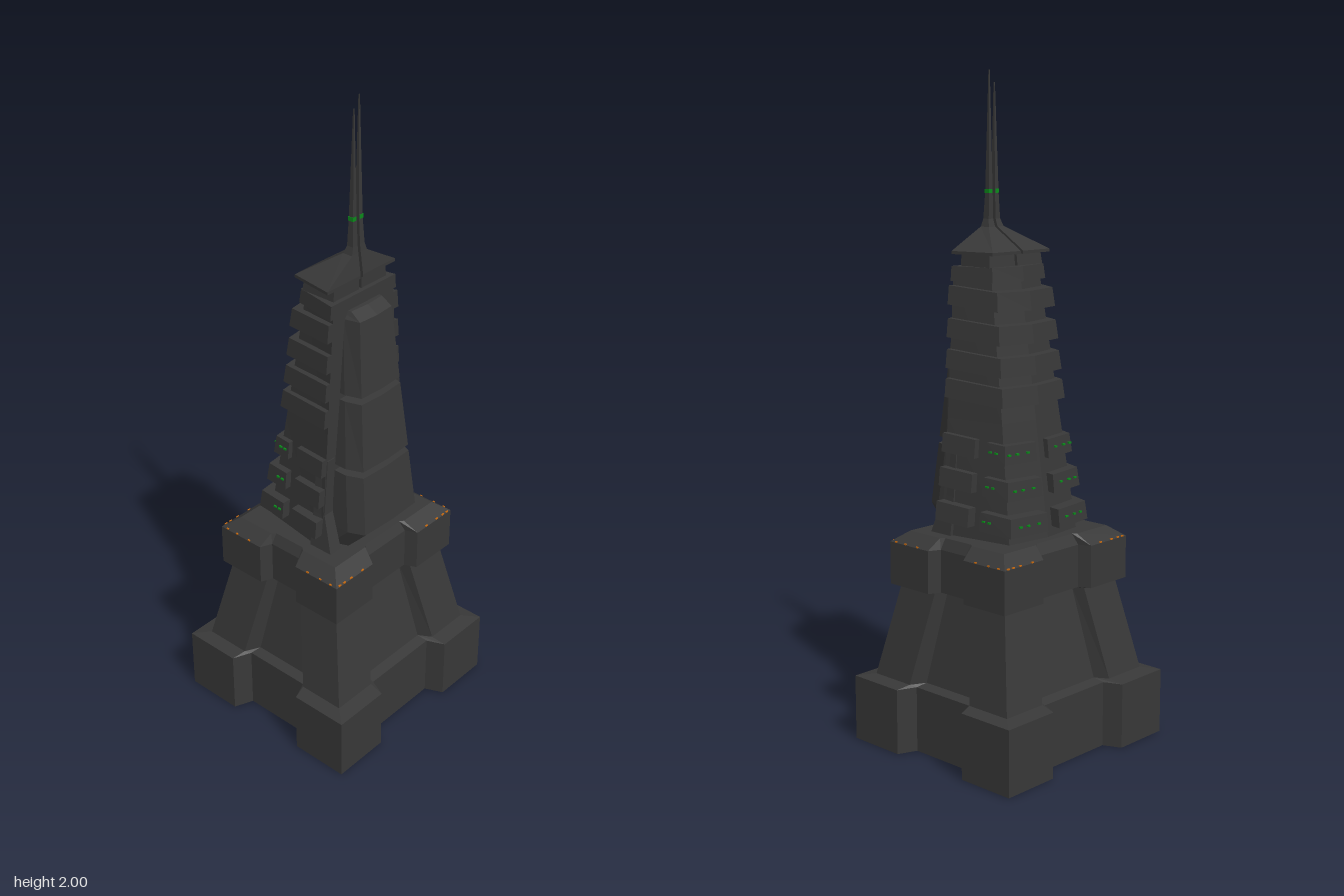
import * as THREE from 'three';

const mat = (name, color, side = THREE.FrontSide) => {
  const m = new THREE.MeshStandardMaterial({ color, side });
  m.name = name;
  return m;
};

export function createModel() {
  const tower = new THREE.Group();
  tower.name = 'tower';
  const stone = mat('dark stone', 0x383838, THREE.DoubleSide);
  const green = mat('green light', 0x0a8a1a);
  const orange = mat('orange light', 0xc86a10);

  // Flat-shaded loft through sections {y, p: [[x, z], ...]}; tilt lowers the back
  function loft(name, sections, { bottom = true, top = true, tilt = 0 } = {}) {
    const out = [];
    const first = sections[0].p.map(([x, z]) => new THREE.Vector2(x, z));
    const flip = THREE.ShapeUtils.area(first) < 0;
    const rings = sections.map(({ y, p }) => {
      const r = p.map(([x, z]) => [x, y + tilt * z, z]);
      return flip ? r.reverse() : r;
    });
    const n = rings[0].length;
    for (let k = 0; k + 1 < rings.length; k++) {
      const lo = rings[k], hi = rings[k + 1];
      for (let i = 0; i < n; i++) {
        const j = (i + 1) % n;
        out.push(...lo[i], ...hi[i], ...hi[j], ...lo[i], ...hi[j], ...lo[j]);
      }
    }
    const cap = (ring, up) => {
      const flat = ring.map(([x, , z]) => new THREE.Vector2(x, z));
      for (const [a, b, c] of THREE.ShapeUtils.triangulateShape(flat, [])) {
        const cross = (flat[b].x - flat[a].x) * (flat[c].y - flat[a].y)
          - (flat[b].y - flat[a].y) * (flat[c].x - flat[a].x);
        const order = (cross < 0) === up ? [a, b, c] : [a, c, b];
        order.forEach((i) => out.push(...ring[i]));
      }
    };
    if (bottom) cap(rings[0], false);
    if (top) cap(rings[rings.length - 1], true);
    const g = new THREE.BufferGeometry();
    g.setAttribute('position', new THREE.Float32BufferAttribute(out, 3));
    g.computeVertexNormals();
    const mesh = new THREE.Mesh(g, stone);
    mesh.name = name;
    tower.add(mesh);
  }

  const lamp = (name, material, x, y, z, w, h, d) => {
    const m = new THREE.Mesh(new THREE.BoxGeometry(w, h, d), material);
    m.position.set(x, y, z);
    m.name = name;
    tower.add(m);
  };

  // Plan with four corner blocks and a recess in each side
  function notched(X, Z, rx, rz, nx, nz, t) {
    const q = [[rx, nz - t], [X, nz], [X, Z], [nx, Z], [nx - t, rz]];
    const mir = (sx, sz, rev) => {
      const r = q.map(([x, z]) => [x * sx, z * sz]);
      return rev ? r.reverse() : r;
    };
    return [...mir(1, 1), ...mir(-1, 1, true), ...mir(-1, -1), ...mir(1, -1, true)];
  }

  // Hollow foot, sloping walls and collar
  const foot = notched(0.34, 0.32, 0.282, 0.265, 0.155, 0.135, 0.024);
  const wallLow = notched(0.297, 0.272, 0.25, 0.232, 0.15, 0.125, 0.024);
  const wallTop = notched(0.243, 0.213, 0.205, 0.178, 0.1, 0.07, 0.015);
  const collar = notched(0.267, 0.235, 0.23, 0.198, 0.105, 0.073, 0.016);
  const collarTop = notched(0.225, 0.192, 0.215, 0.183, 0.09, 0.065, 0.012);
  const open = { bottom: false, top: false };
  loft('foot', [{ y: 0, p: foot }, { y: 0.2, p: foot }, { y: 0.208, p: wallLow }], open);
  loft('slopingWalls', [{ y: 0.208, p: wallLow }, { y: 0.49, p: wallTop }], open);
  loft('collar', [{ y: 0.49, p: wallTop }, { y: 0.492, p: collar }, { y: 0.622, p: collar },
    { y: 0.655, p: collarTop }], { bottom: false });

  // Five-sided plan: flat front, angled sides and a shallow point at the back
  const plan = (w, back, front = 0.1) => [
    [w, front], [0.8 * w, back + 0.018], [0, back], [-0.8 * w, back + 0.018], [-w, front]];
  loft('shaft', [{ y: 0.65, p: plan(0.183, -0.158) }, { y: 1.0, p: plan(0.155, -0.108) },
    { y: 1.42, p: plan(0.128, -0.045) }]);

  // Upper tiers run all the way round
  for (const [y, w, b] of [[1.38, 0.153, -0.09], [1.285, 0.158, -0.1], [1.195, 0.163, -0.11],
    [1.11, 0.168, -0.12]]) {
    loft('upperTier', [{ y: y - 0.055, p: plan(w, b) }, { y, p: plan(w - 0.006, b + 0.007) }], { tilt: 0.08 });
  }
  loft('topBand', [{ y: 1.4, p: plan(0.14, -0.06) }, { y: 1.443, p: plan(0.136, -0.055) }]);

  // Lower tiers are broken by slots at the sides and the back
  for (const [y, w, b] of [[0.95, 0.182, -0.14], [0.85, 0.195, -0.162], [0.75, 0.21, -0.184]]) {
    for (const s of [1, -1]) {
      const side = (z, e) => w - e - (0.2 * w * (0.1 - z)) / (0.082 - b);
      const front = (e) => [[side(0.1, e), 0.1], [side(-0.015, e), -0.015], [0.08, -0.015], [0.08, 0.1]];
      const corner = (e) => [[side(-0.055, e), -0.055], [0.8 * w - e, b + 0.018 + e],
        [0.025, b + 0.003 + e], [0.025, -0.055]];
      for (const [name, f] of [['lowerTierSide', front], ['lowerTierCorner', corner]]) {
        const p = (e) => f(e).map(([x, z]) => [s * x, z]);
        loft(name, [{ y: y - 0.055, p: p(0) }, { y, p: p(0.006) }], { tilt: 0.08 });
      }
      // Small lamps along the tier edges
      for (const k of [0.06, 0.1, 0.13]) {
        lamp('tierLamp', green, s * k, y - 0.025 + 0.08 * b, b + 0.003 + 0.1 * k, 0.01, 0.005, 0.009);
      }
      for (const z of [-0.07, -0.09]) {
        lamp('tierLamp', green, s * side(z, 0.003), y - 0.025 + 0.08 * z, z, 0.009, 0.005, 0.01);
      }
    }
  }

  // Front bay in three blocks with open joints
  const bay = (a, b, f) => [[b, 0.09], [b, f - 0.05], [a, f], [0, f + 0.005], [-a, f], [-b, f - 0.05], [-b, 0.09]];
  loft('lowerBay', [{ y: 0.655, p: bay(0.117, 0.139, 0.15) }, { y: 0.72, p: bay(0.115, 0.137, 0.213) },
    { y: 0.905, p: bay(0.102, 0.123, 0.193) }]);
  loft('middleBay', [{ y: 0.925, p: bay(0.101, 0.121, 0.191) }, { y: 1.135, p: bay(0.085, 0.101, 0.169) }]);
  loft('upperBay', [{ y: 1.155, p: bay(0.084, 0.1, 0.167) }, { y: 1.383, p: bay(0.068, 0.081, 0.145) },
    { y: 1.405, p: bay(0.065, 0.076, 0.11) }]);

  for (const s of [1, -1]) {
    const m = (x0, x1, z0, z1) => [[s * x0, z0], [s * x1, z0], [s * x1, z1], [s * x0, z1]];
    // Buttress beside the bay
    loft('buttress', [{ y: 0.65, p: m(0.142, 0.188, 0.06, 0.142) }, { y: 0.77, p: m(0.136, 0.172, 0.06, 0.104) },
      { y: 0.95, p: m(0.126, 0.156, 0.06, 0.103) }]);
    // Split neck, roof and mast
    loft('neck', [{ y: 1.44, p: m(0.005, 0.112, -0.03, 0.086) }, { y: 1.482, p: m(0.005, 0.108, -0.025, 0.086) }]);
    const eave = [[s * 0.005, -0.052], [s * 0.12, -0.05], [s * 0.143, 0.092], [s * 0.005, 0.092]];
    loft('roof', [{ y: 1.478, p: eave }, { y: 1.487, p: eave }, { y: 1.552, p: m(0.005, 0.032, 0.05, 0.083) }]);
    loft('mast', [{ y: 1.55, p: m(0.005, 0.032, 0.05, 0.083) }, { y: 1.575, p: m(0.005, 0.024, 0.058, 0.08) },
      { y: 1.65, p: m(0.005, 0.02, 0.06, 0.076) }, { y: s > 0 ? 2 : 1.965, p: m(0.009, 0.012, 0.0665, 0.0695) }]);
    lamp('mastLamp', green, s * 0.014, 1.655, 0.068, 0.015, 0.012, 0.018);
    // Lamps along the collar rim
    for (const t of [1, -1]) {
      for (const x of [0.15, 0.2, 0.23, 0.25]) lamp('collarLamp', orange, s * x, 0.624, t * 0.233, 0.01, 0.004, 0.004);
      for (const z of [0.12, 0.17, 0.21]) lamp('collarLamp', orange, s * 0.265, 0.624, t * z, 0.004, 0.004, 0.008);
    }
  }
  return tower;
}
